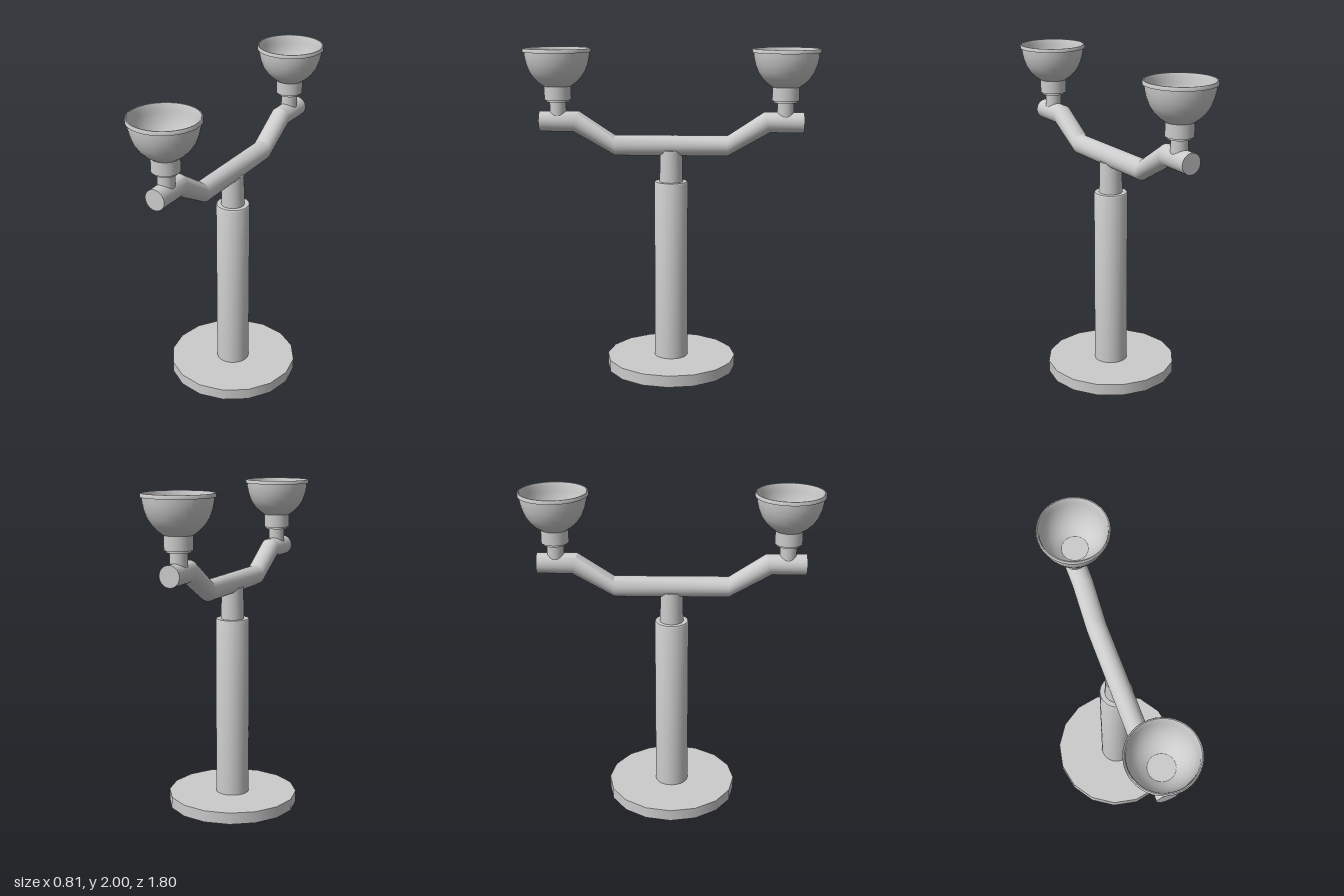
import * as THREE from 'three';
import { toCreasedNormals } from 'three/addons/utils/BufferGeometryUtils.js';

const material = new THREE.MeshStandardMaterial({ color: 0xcccccc });
const cupMaterial = new THREE.MeshStandardMaterial({ color: 0xcccccc, side: THREE.DoubleSide });

function addMesh(parent, name, geometry, mat = material) {
  const mesh = new THREE.Mesh(geometry, mat);
  mesh.name = name;
  parent.add(mesh);
  return mesh;
}

// Upright cylinder between two heights
function addPost(parent, name, rBottom, rTop, y0, y1, sides = 32) {
  const mesh = addMesh(parent, name, new THREE.CylinderGeometry(rTop, rBottom, y1 - y0, sides));
  mesh.position.y = (y0 + y1) / 2;
  return mesh;
}

function addLathe(parent, name, profile, mat) {
  const points = profile.map(([r, y]) => new THREE.Vector2(r, y));
  return addMesh(parent, name, toCreasedNormals(new THREE.LatheGeometry(points, 40), 0.6), mat);
}

// Round bar along z whose six rings follow the bent centre line: [z, y, lean]
function armGeometry() {
  const half = [[0.345, 1.4125, 0], [0.582, 1.5575, -0.018], [0.805, 1.5575, 0]];
  const rings = [...half.map(([z, y, lean]) => [-z, y, -lean]).reverse(), ...half];
  const radius = 0.0625;
  const geometry = new THREE.CylinderGeometry(radius, radius, 1, 32, 5).rotateX(Math.PI / 2);
  const pos = geometry.attributes.position;
  for (let i = 0; i < pos.count; i++) {
    const [z, y, lean] = rings[Math.round((pos.getZ(i) + 0.5) * 5)];
    const up = pos.getY(i);
    pos.setY(i, y + up);
    pos.setZ(i, z + lean * up / radius);
  }
  return toCreasedNormals(geometry, 0.45);
}

// Stem, socket and open bowl
function createCup(name) {
  const cup = new THREE.Group();
  cup.name = name;
  addPost(cup, 'cupStem', 0.05, 0.05, 1.57, 1.69);
  addPost(cup, 'socketCollar', 0.07, 0.07, 1.678, 1.692);
  addPost(cup, 'socket', 0.082, 0.082, 1.69, 1.777);
  addLathe(cup, 'bowl', [
    [0, 1.772], [0.084, 1.772], [0.115, 1.794], [0.145, 1.824], [0.17, 1.862],
    [0.187, 1.908], [0.196, 1.95], [0.198, 1.978],
    [0.208, 1.978], [0.208, 1.992], [0.204, 2], [0.198, 2],
    [0.191, 1.978], [0.188, 1.95], [0.179, 1.91], [0.163, 1.868],
    [0.139, 1.832], [0.11, 1.803], [0.077, 1.78], [0, 1.78],
  ], cupMaterial);
  return cup;
}

export function createModel() {
  const model = new THREE.Group();
  model.name = 'twinCupStand';

  // Stand
  addPost(model, 'base', 0.403, 0.403, 0, 0.072, 16);
  addLathe(model, 'column', [[0, 0.06], [0.103, 0.06], [0.103, 1.184], [0.099, 1.19], [0, 1.19]]);
  addPost(model, 'neck', 0.072, 0.067, 1.18, 1.385);

  // Bent crossbar
  addMesh(model, 'arm', armGeometry());

  // Cups at both ends
  for (const side of [1, -1]) {
    const cup = createCup(side > 0 ? 'frontCup' : 'backCup');
    cup.position.z = side * 0.692;
    model.add(cup);
  }
  return model;
}
